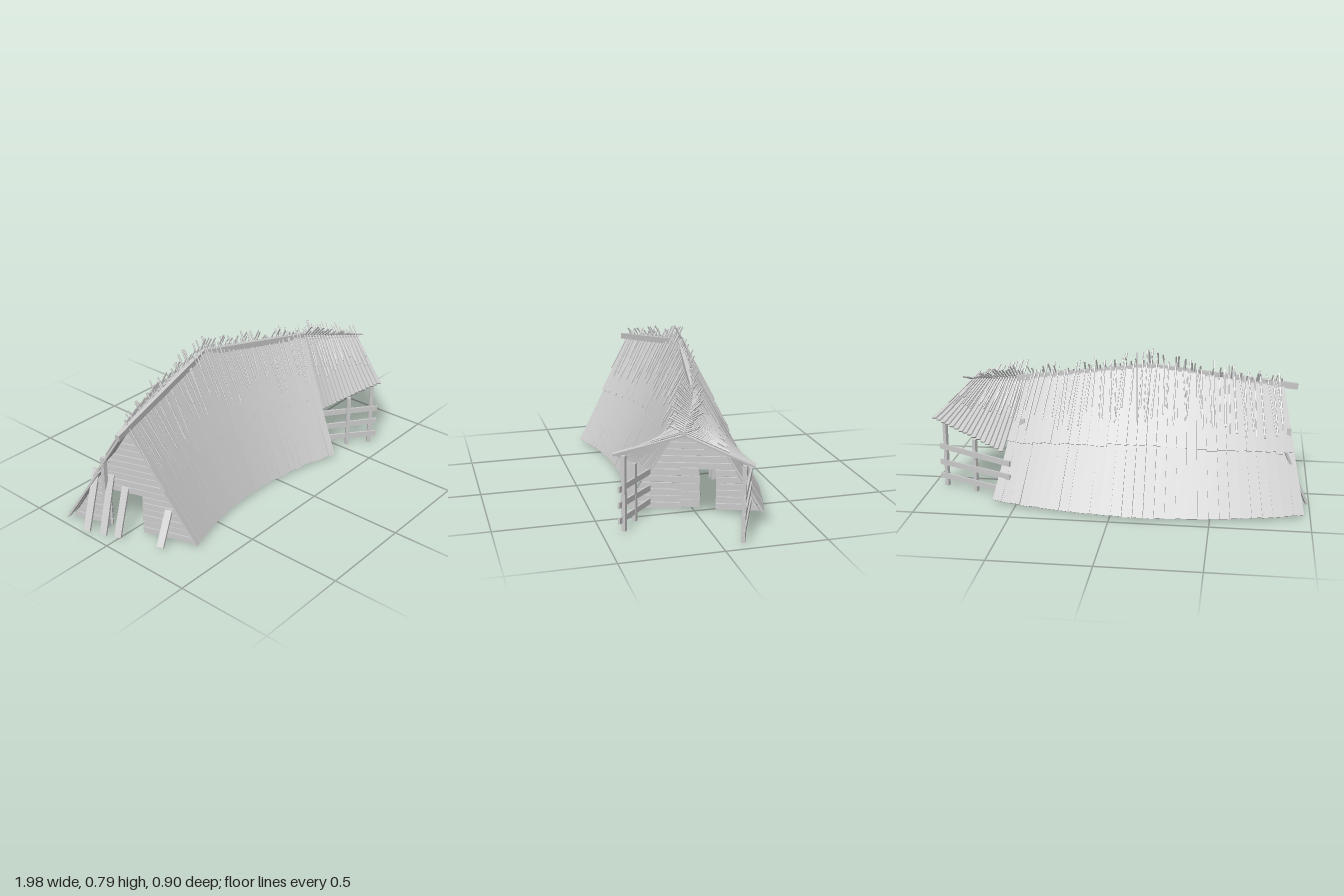
import * as THREE from 'three';
import { mergeGeometries } from 'three/addons/utils/BufferGeometryUtils.js';

const V = (x, y, z) => new THREE.Vector3(x, y, z);
const RAD = Math.PI / 180;
const END = 20 * RAD;                 // half angle of the curved plan
const CX = -0.17, CZ = 1.88;          // centre of the plan arcs
const R_RIDGE = 1.985, R_FRONT = 1.635, R_BACK = 2.335;

let seed = 7;
const rnd = (a = 0, b = 1) => {
  seed = (seed * 16807) % 2147483647;
  return a + (b - a) * seed / 2147483647;
};

// point on the curved plan, and ridge height along it
const P = (t, r, y) => V(CX + r * Math.sin(t), y, CZ - r * Math.cos(t));
const ridgeY = t => 0.7 - 0.125 * Math.abs(t) / END;

// tapered board from a to b, its broad face turned toward the hint
function board(a, b, wA, wB, thick, hint) {
  const dir = b.clone().sub(a), len = dir.length();
  dir.normalize();
  const x = new THREE.Vector3().crossVectors(dir, hint).normalize();
  const z = new THREE.Vector3().crossVectors(x, dir);
  const g = new THREE.BoxGeometry(1, len, thick);
  const p = g.attributes.position;
  for (let i = 0; i < p.count; i++) p.setX(i, p.getX(i) * (p.getY(i) < 0 ? wA : wB));
  g.applyMatrix4(new THREE.Matrix4().makeBasis(x, dir, z));
  const m = a.clone().add(b).multiplyScalar(0.5);
  return g.translate(m.x, m.y, m.z);
}

// thin round stick
function stick(a, b, r) {
  const d = b.clone().sub(a), len = d.length();
  const g = new THREE.CylinderGeometry(r, r, len, 5);
  g.applyQuaternion(new THREE.Quaternion().setFromUnitVectors(V(0, 1, 0), d.normalize()));
  const m = a.clone().add(b).multiplyScalar(0.5);
  return g.translate(m.x, m.y, m.z);
}

// one plank piece of a cross wall, drawn in the radius / height plane
function wallPiece(t, pts, thick) {
  const s = new THREE.Shape(pts.map(p => new THREE.Vector2(p[0], p[1])));
  const g = new THREE.ExtrudeGeometry(s, { depth: thick, bevelEnabled: false });
  return g.translate(0, 0, -thick / 2).rotateY(Math.PI / 2 - t).translate(CX, 0, CZ);
}

export function createModel() {
  const model = new THREE.Group();
  const mat = new THREE.MeshStandardMaterial({ color: 0xcccccc, flatShading: true });
  const add = (name, geos) => {
    const m = new THREE.Mesh(mergeGeometries(geos), mat);
    m.name = name;
    model.add(m);
  };

  // main roof: two overlapping tiers of radiating boards, and sticks over the ridge
  const N = 30;
  for (const [side, rBase] of [['front', R_FRONT], ['back', R_BACK]]) {
    const sgn = Math.sign(rBase - R_RIDGE);
    const lower = [], upper = [], sticks = [];
    const step = 2 * END / N;
    const at = (t, k, lift) => {          // k: 0 at the ground, 1 at the ridge
      const r = rBase + (R_RIDGE - rBase) * k;
      return P(t, r + sgn * lift * 0.88, 0.008 + (ridgeY(t) - 0.008) * k + lift * 0.45);
    };
    for (let i = 0; i < N; i++) {
      const t = -END + step * (i + 0.5);
      const n = P(t, sgn * 0.9, 0.45).sub(P(t, 0, 0));
      const wBase = step * rBase * rnd(0.94, 1.02), wTop = step * R_RIDGE * rnd(0.95, 1.02);
      const wMid = (wBase + wTop) / 2;
      lower.push(board(at(t, rnd(0, 0.008), rnd(-0.003, 0.003)), at(t, 0.53, 0), wBase, wMid, 0.01, n));
      upper.push(board(at(t, rnd(0.47, 0.49), rnd(0.008, 0.013)), at(t, 1, 0.006), wMid, wTop, 0.01, n));
    }
    for (let i = 0; i < 50; i++) {
      const t = -END + 2 * END * (i + rnd(0.1, 0.9)) / 50;
      sticks.push(stick(at(t + rnd(-0.012, 0.012), rnd(0.58, 0.76), 0.02),
        at(t, rnd(1.03, 1.12), 0.022), rnd(0.003, 0.005)));
    }
    add(side + 'RoofLowerBoards', lower);
    add(side + 'RoofUpperBoards', upper);
    add(side + 'RoofSticks', sticks);
  }

  // ridge beams: two straight main lengths and the porch length
  const peak = V(CX, 0.7, CZ - R_RIDGE - 0.005);
  const porchIn = V(0.51, 0.575, 0.01), porchOut = V(0.84, 0.51, 0.15);
  add('ridgeBeams', [
    board(V(-0.92, 0.58, 0.035), peak, 0.022, 0.022, 0.032, V(0, 1, 0)),
    board(peak, V(0.55, 0.58, 0.01), 0.022, 0.022, 0.032, V(0, 1, 0)),
    board(V(0.49, 0.565, 0), porchOut, 0.02, 0.02, 0.025, V(0, 1, 0)),
  ]);

  // porch roof: boards fan from its ridge to the rising eaves
  const porch = [
    ['porchFront', V(0.45, 0.22, 0.2), V(0.65, 0.39, 0.445)],
    ['porchBack', V(0.58, 0.25, -0.25), V(0.985, 0.39, -0.14)],
  ];
  for (const [name, eaveIn, eaveOut] of porch) {
    const boards = [], sticks = [], K = 16;
    const n = new THREE.Vector3().crossVectors(
      porchOut.clone().sub(porchIn), eaveOut.clone().sub(porchIn)).normalize();
    if (n.y < 0) n.negate();
    const wE = eaveIn.distanceTo(eaveOut) / K, wR = porchIn.distanceTo(porchOut) / K;
    for (let i = 0; i < K; i++) {
      const k = (i + 0.5) / K;
      const e = eaveIn.clone().lerp(eaveOut, k), r = porchIn.clone().lerp(porchOut, k);
      boards.push(board(e.addScaledVector(n, rnd(0, 0.006)), r, wE * 1.02, wR * 1.05, 0.009, n));
    }
    for (let i = 0; i < 20; i++) {
      const k = (i + 0.5) / 20;
      const r = porchIn.clone().lerp(porchOut, k);
      const e = eaveIn.clone().lerp(eaveOut, k + rnd(-0.06, 0.06));
      const a = r.clone().lerp(e, rnd(0.4, 0.65)).addScaledVector(n, 0.012);
      const b = r.clone().lerp(e, -rnd(0.1, 0.28)).addScaledVector(n, 0.014);
      sticks.push(stick(a, b, 0.0045));
    }
    add(name + 'RoofBoards', boards);
    add(name + 'RoofSticks', sticks);
  }

  // porch posts and railings
  const rails = [
    ['front', V(0.67, 0, 0.42), V(0.43, 0, 0.21), [[0.65, 0.39, 0.375], [0.545, 0.315, 0.295]]],
    ['back', V(0.96, 0, -0.1), V(0.54, 0, -0.28), [[0.925, -0.11, 0.375], [0.75, -0.175, 0.29]]],
  ];
  for (const [name, a, b, posts] of rails) {
    const out = V(b.z - a.z, 0, a.x - b.x).normalize();
    add(name + 'PorchPosts', posts.map(([x, z, h]) =>
      board(V(x, 0, z), V(x, h, z), 0.02, 0.02, 0.02, out)));
    add(name + 'PorchRails', [0.05, 0.13, 0.215].map(y =>
      board(a.clone().setY(y + rnd(0, 0.01)), b.clone().setY(y - rnd(0, 0.015)), 0.03, 0.03, 0.01, out)));
  }

  // plank cross walls with a doorway: both ends and two inside
  const doorIn = 1.93, doorOut = 2.1, doorTop = 0.22;
  [-19, -6.5, 6.5, 19].forEach((deg, w) => {
    const t = deg * RAD, H = ridgeY(t) - 0.02, pieces = [];
    const rows = Math.round(H / 0.036), h = H / rows;
    for (let i = 0; i < rows; i++) {
      const y0 = i * h + 0.003, y1 = (i + 1) * h - rnd(0, 0.003);
      const inR = y => R_RIDGE - 0.335 * (1 - y / H), outR = y => R_RIDGE + 0.335 * (1 - y / H);
      const th = rnd(0.008, 0.014);
      if (y1 < doorTop + 0.01) {
        pieces.push(wallPiece(t, [[inR(y0), y0], [doorIn, y0], [doorIn, y1], [inR(y1), y1]], th));
        pieces.push(wallPiece(t, [[doorOut, y0], [outR(y0), y0], [outR(y1), y1], [doorOut, y1]], th));
      } else {
        pieces.push(wallPiece(t, [[inR(y0), y0], [outR(y0), y0], [outR(y1), y1], [inR(y1), y1]], th));
      }
    }
    add(['leftwardEndWall', 'innerWallA', 'innerWallB', 'porchEndWall'][w], pieces);
  });

  // half-closed door on the porch side
  const door = [];
  for (let i = 0; i < 5; i++) {
    const y = 0.018 + i * 0.041, s = rnd(-0.004, 0.004);
    door.push(wallPiece(19.3 * RAD, [[1.925 + s, y], [2.02 + s, y], [2.02 + s, y + 0.039], [1.925 + s, y + 0.039]], 0.01));
  }
  add('door', door);

  // posts beside the doorways
  add('doorPosts', [-19.6, -6, 7, 18.4].map(d =>
    board(P(d * RAD, 2.12, 0), P(d * RAD, 2.12, 0.4), 0.022, 0.022, 0.022, V(1, 0, 0))));

  // boards leaning against the far end wall
  const lean = [[-0.985, -0.155, 0.3], [-0.955, -0.07, 0.34], [-0.925, 0.0, 0.3], [-0.85, 0.215, 0.2]];
  add('leaningBoards', lean.map(([x, z, h]) =>
    board(V(x, 0.01, z), V(x + 0.12, h, z - 0.035), 0.036, 0.036, 0.012, V(-1, 0.4, 0.3))));

  return model;
}
